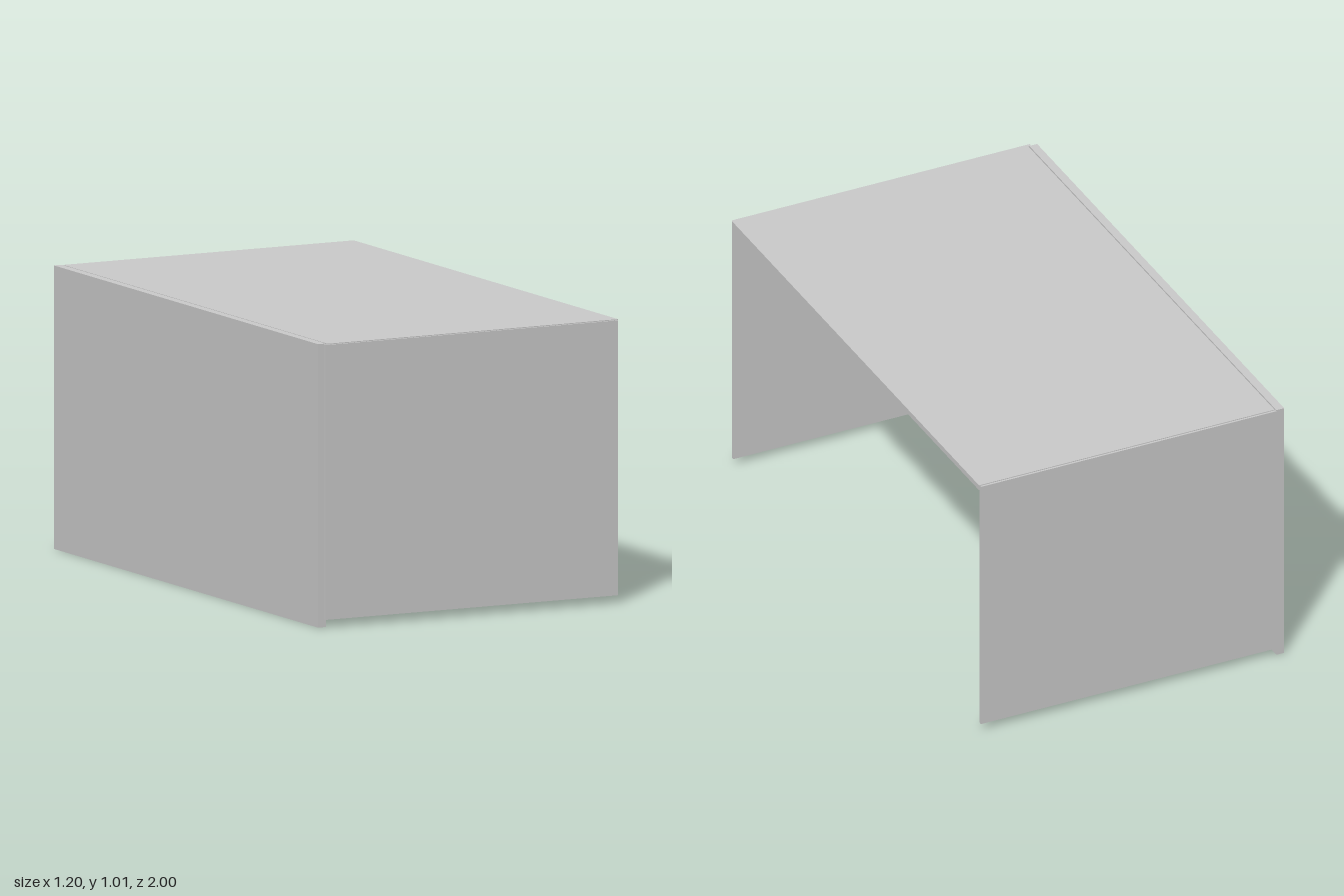
import * as THREE from 'three';

export function createModel() {
  const model = new THREE.Group();
  model.name = 'deskShell';
  const material = new THREE.MeshStandardMaterial({ color: 0xcccccc, flatShading: true });

  // Box panel given by its minimum and maximum corners
  function panel(name, min, max) {
    const size = max.map((v, i) => v - min[i]);
    const mesh = new THREE.Mesh(new THREE.BoxGeometry(...size), material);
    mesh.position.set(...max.map((v, i) => (v + min[i]) / 2));
    mesh.name = name;
    model.add(mesh);
  }

  // Long upright wall, standing slightly lower than the end panels
  panel('longWall', [-0.598, 0, -0.998], [-0.567, 1.013, 0.985]);

  // Top board, separated from the wall by a narrow groove
  panel('topBoard', [-0.563, 0.993, -0.992], [0.598, 1.013, 0.992]);

  // Thin end panels: the front one laps over the wall's end, the back one sits inside it
  panel('frontPanel', [-0.576, 0.028, 0.988], [0.594, 1.01, 1]);
  panel('backPanel', [-0.567, 0.028, -1], [0.594, 1.01, -0.988]);

  return model;
}
